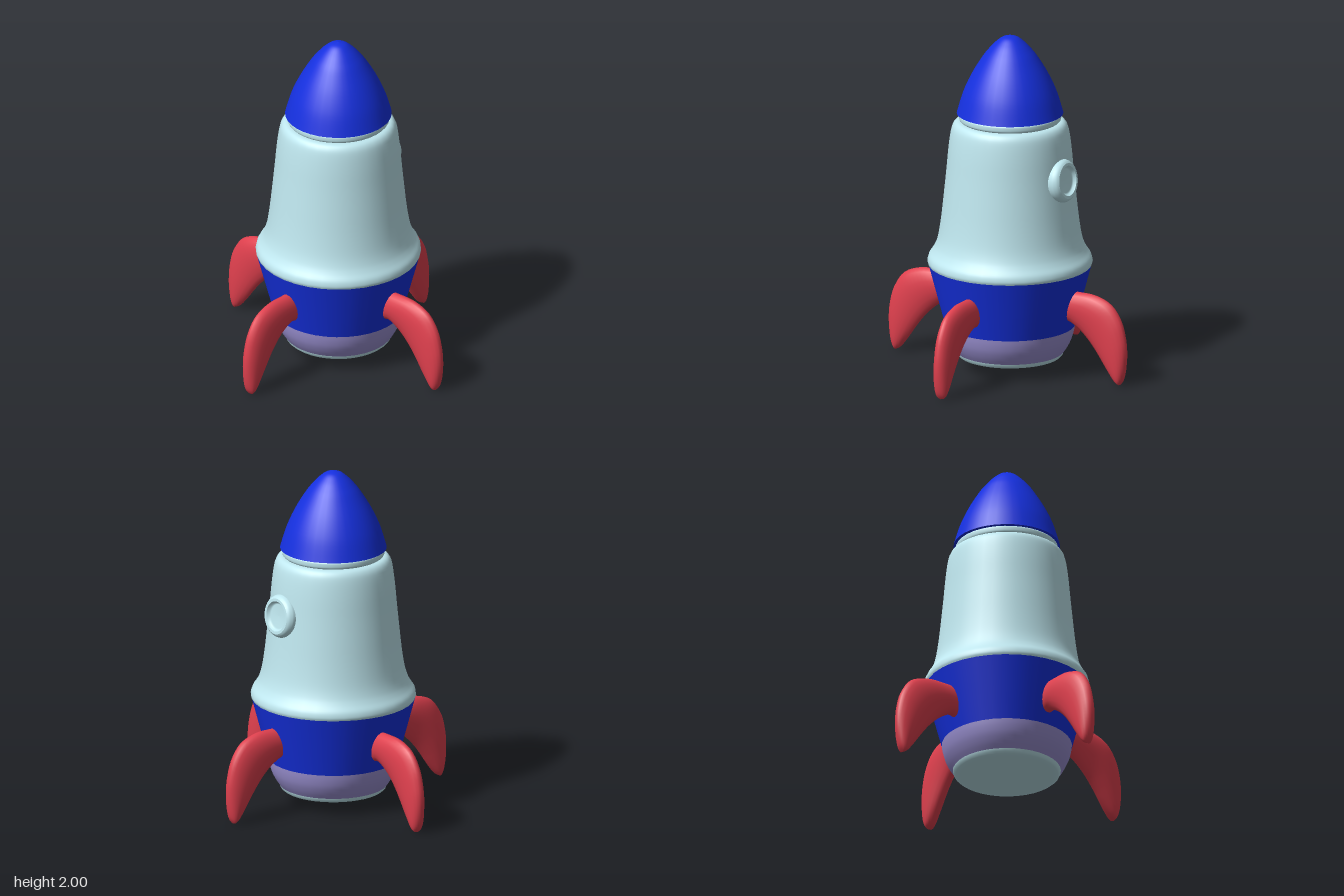
import * as THREE from 'three';

const SEGMENTS = 36;
const material = (color) => new THREE.MeshStandardMaterial({ color, side: THREE.DoubleSide });
const vectors = (pairs) => pairs.map(([x, y]) => new THREE.Vector2(x, y));

// Revolved part; profile runs from bottom to top as [radius, height]
function turned(name, mat, profile, samples = 0) {
  let points = vectors(profile);
  if (samples) points = new THREE.SplineCurve(points).getPoints(samples);
  points.forEach((p) => { p.x = Math.max(p.x, 0); });
  const mesh = new THREE.Mesh(new THREE.LatheGeometry(points, SEGMENTS), mat);
  mesh.name = name;
  return mesh;
}

// Curved fin: elliptical sections spanning an outer and an inner edge curve
function finGeometry() {
  const outer = new THREE.SplineCurve(vectors([
    [0.34, 0.52], [0.48, 0.523], [0.6, 0.518], [0.71, 0.475], [0.778, 0.385],
    [0.808, 0.28], [0.815, 0.19], [0.808, 0.105], [0.793, 0.04], [0.77, 0.004]]));
  const inner = new THREE.SplineCurve(vectors([
    [0.34, 0.31], [0.41, 0.342], [0.47, 0.318], [0.525, 0.277], [0.58, 0.222],
    [0.63, 0.16], [0.67, 0.105], [0.71, 0.053], [0.74, 0.02], [0.77, 0.004]]));
  const rows = 36, ring = 20;
  const positions = [], index = [];
  for (let i = 0; i <= rows; i++) {
    const t = i / rows;
    const o = outer.getPoint(t), n = inner.getPoint(t);
    const halfWidth = 0.055 * Math.sqrt(Math.max(0, 1 - Math.pow(t, 4)));
    for (let j = 0; j < ring; j++) {
      const a = (j / ring) * Math.PI * 2;
      const k = (1 + Math.cos(a)) / 2;
      positions.push(n.x + (o.x - n.x) * k, n.y + (o.y - n.y) * k, halfWidth * Math.sin(a));
      if (i < rows) {
        const p = i * ring + j, q = i * ring + (j + 1) % ring;
        index.push(p, p + ring, q, q, p + ring, q + ring);
      }
    }
  }
  // Orient the faces outward
  for (let i = 0; i < index.length; i += 3) {
    [index[i + 1], index[i + 2]] = [index[i + 2], index[i + 1]];
  }
  const geometry = new THREE.BufferGeometry();
  geometry.setAttribute('position', new THREE.Float32BufferAttribute(positions, 3));
  geometry.setIndex(index);
  geometry.computeVertexNormals();
  return geometry;
}

export function createModel() {
  const model = new THREE.Group();
  model.name = 'rocket';
  const pale = material(0xc0e8f0);
  const blue = material(0x1530e0);
  const purple = material(0x9c92d4);
  const red = material(0xe0404e);

  // Hull, stacked from the base to the nose
  const hull = new THREE.Group();
  hull.name = 'hull';
  hull.position.set(0.004, 0, -0.016);
  hull.add(
    turned('basePlate', pale, [[0, 0.08], [0.27, 0.08], [0.295, 0.084], [0.306, 0.094], [0.312, 0.11]]),
    turned('engineSkirt', purple, [[0.312, 0.11], [0.335, 0.145], [0.357, 0.19], [0.37, 0.235], [0.376, 0.27]], 12),
    turned('lowerBand', blue, [[0.376, 0.27], [0.424, 0.45], [0.472, 0.632]]),
    turned('bandLip', pale, [[0.455, 0.632], [0.472, 0.632]]),
    turned('fuselage', pale, [
      [0.472, 0.632], [0.477, 0.65], [0.47, 0.68], [0.447, 0.715], [0.428, 0.755], [0.411, 0.82],
      [0.395, 0.93], [0.38, 1.07], [0.367, 1.2], [0.355, 1.33], [0.342, 1.425], [0.328, 1.468],
      [0.305, 1.488], [0.27, 1.49]], 52),
    turned('neckRing', pale, [
      [0.27, 1.488], [0.285, 1.491], [0.294, 1.5], [0.296, 1.515], [0.294, 1.53], [0.28, 1.538]], 14),
    turned('noseUnderside', blue, [[0, 1.536], [0.308, 1.536]]),
    turned('noseCone', blue, [
      [0.308, 1.536], [0.272, 1.655], [0.222, 1.765], [0.16, 1.868], [0.12, 1.92],
      [0.085, 1.957], [0.045, 1.988], [0, 2]], 36),
  );
  model.add(hull);

  // Round porthole on the back, leaning with the hull
  const porthole = new THREE.Group();
  porthole.name = 'porthole';
  porthole.add(
    turned('portholeSide', pale, [[0.122, -0.06], [0.126, -0.012], [0.124, 0.004], [0.116, 0.02], [0.104, 0.03]], 12),
    turned('portholeRim', pale, [[0.104, 0.03], [0.088, 0.03]]),
    turned('portholeDish', pale, [[0.088, 0.03], [0.08, 0.014], [0.07, 0.009], [0, 0.007]]),
  );
  porthole.position.set(0.025, 1.185, -0.389);
  porthole.rotation.x = THREE.MathUtils.degToRad(-83);
  model.add(porthole);

  // Four fins around the base
  const geometry = finGeometry();
  ['leftFin', 'backFin', 'rightFin', 'frontFin'].forEach((name, i) => {
    const fin = new THREE.Mesh(geometry, red);
    fin.name = name;
    fin.rotation.y = i * Math.PI / 2;
    if (i % 2) fin.scale.x = 0.97;
    model.add(fin);
  });
  return model;
}
